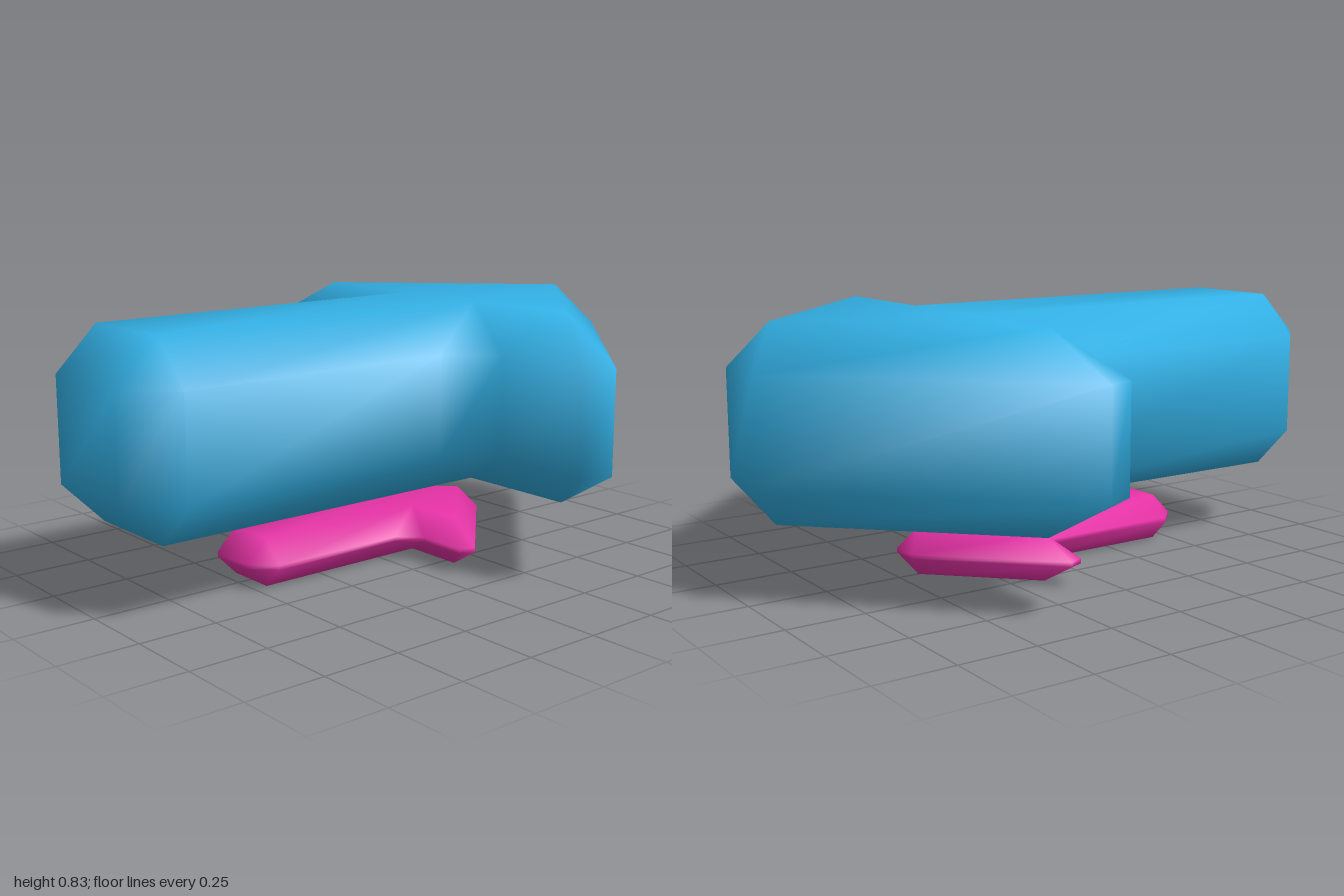
import * as THREE from 'three';

const blue = new THREE.MeshStandardMaterial({ name: 'sky blue', color: 0x33b1e6 });
const pink = new THREE.MeshStandardMaterial({ name: 'magenta', color: 0xe632a6 });

// Sharp arrow outline [x, z], counter-clockwise seen from above
const OUTLINE = [[-1, 0.3], [0.2, 0.3], [0.2, 0.895], [1.095, 0], [0.2, -0.895], [0.2, -0.3], [-1, -0.3]]
  .map(([x, z]) => new THREE.Vector2(x, z));
const BEVEL = 0.135;

// Smooth normals, weighting each face by its angle at the vertex
function smoothNormals(points, index) {
  const normals = points.map(() => new THREE.Vector3());
  for (let f = 0; f < index.length; f += 3) {
    for (let k = 0; k < 3; k++) {
      const [a, b, c] = [0, 1, 2].map((o) => points[index[f + ((k + o) % 3)]]);
      const u = b.clone().sub(a), v = c.clone().sub(a);
      const angle = u.angleTo(v);
      normals[index[f + k]].addScaledVector(u.cross(v).normalize(), angle);
    }
  }
  return normals.map((n) => n.normalize());
}

// Arrow slab with all edges and corners chamfered
function arrowGeometry(scale, height) {
  const count = OUTLINE.length, bevel = BEVEL * scale;
  const cap = [], ring = [];
  OUTLINE.forEach((p, i) => {
    const toPrev = OUTLINE[(i + count - 1) % count].clone().sub(p).normalize();
    const toNext = OUTLINE[(i + 1) % count].clone().sub(p).normalize();
    // Cap corner: mitred inset of the outline
    const sum = toPrev.clone().add(toNext);
    cap.push(p.clone().addScaledVector(sum, BEVEL / toNext.cross(toPrev) * -1));
    // Wall corner: cut back along both edges
    ring.push(p.clone().addScaledVector(toPrev, BEVEL), p.clone().addScaledVector(toNext, BEVEL));
  });

  const points = [];
  const addLevel = (list, y) => {
    const start = points.length;
    list.forEach((p) => points.push(new THREE.Vector3(p.x * scale, y, p.y * scale)));
    return start;
  };
  const bottom = addLevel(cap, 0);
  const low = addLevel(ring, bevel);
  const high = addLevel(ring, height - bevel);
  const top = addLevel(cap, height);

  const index = [];
  const quad = (a, b, c, d) => index.push(a, b, c, a, c, d);
  // Flat top and bottom
  const flat = cap.map((p) => new THREE.Vector2(p.x, -p.y));
  for (const [a, b, c] of THREE.ShapeUtils.triangulateShape(flat, [])) {
    index.push(top + a, top + b, top + c, bottom + a, bottom + c, bottom + b);
  }
  // Upright walls
  for (let j = 0; j < 2 * count; j++) {
    const k = (j + 1) % (2 * count);
    quad(low + j, low + k, high + k, high + j);
  }
  // Sloping edges and corner triangles
  for (let i = 0; i < count; i++) {
    const n = (i + 1) % count, s = 2 * i, e = 2 * i + 1;
    quad(high + e, high + 2 * n, top + n, top + i);
    quad(bottom + i, bottom + n, low + 2 * n, low + e);
    index.push(high + s, high + e, top + i, low + e, low + s, bottom + i);
  }

  const geometry = new THREE.BufferGeometry().setFromPoints(points);
  const normals = smoothNormals(points, index).flatMap((n) => n.toArray());
  geometry.setAttribute('normal', new THREE.Float32BufferAttribute(normals, 3));
  geometry.setIndex(index);
  return geometry;
}

export function createModel() {
  const model = new THREE.Group();
  model.name = 'arrows';

  const addArrow = (name, scale, height, x, y, material) => {
    const mesh = new THREE.Mesh(arrowGeometry(scale, height), material);
    mesh.name = name;
    mesh.position.set(x, y, 0);
    model.add(mesh);
  };
  addArrow('largeArrow', 1, 0.595, 0, 0.23, blue);
  addArrow('smallArrow', 0.5, 0.15, -0.02, 0, pink);
  return model;
}
